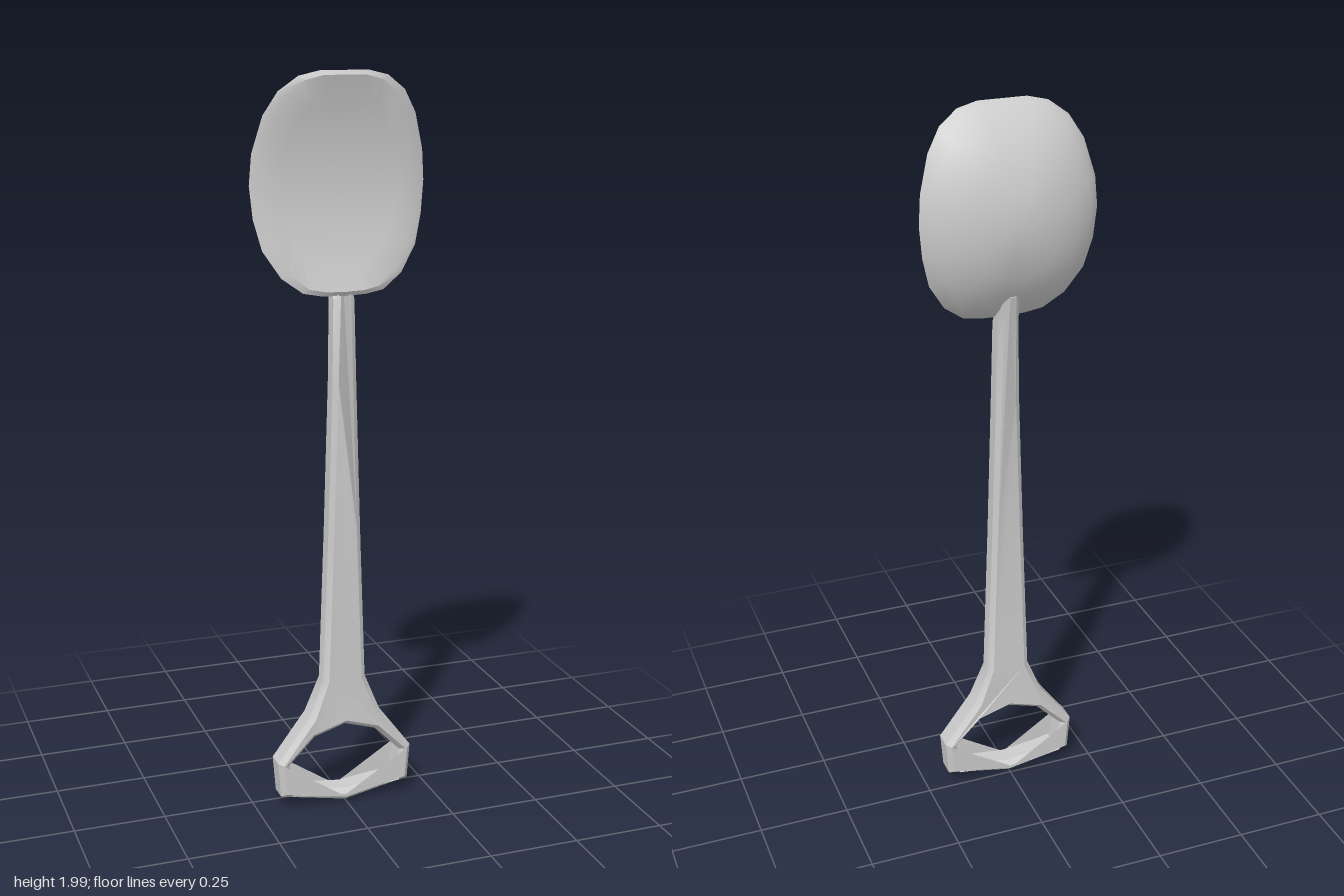
import * as THREE from 'three';
import { toCreasedNormals } from 'three/addons/utils/BufferGeometryUtils.js';

const material = new THREE.MeshStandardMaterial({ color: 0xcccccc, side: THREE.DoubleSide });

// Closes a half outline (+x side, bottom to top) with its mirror image
function mirrored(half) {
  return [...half, ...half.filter(p => p[0] > 0).reverse().map(([x, y]) => [-x, y])];
}

// Bowl: outline rings from the middle of the front face, over the rim, to the middle of the back
function createBowl() {
  const cy = 1.715;
  const outline = mirrored([
    [0, -0.286], [0.06, -0.284], [0.11, -0.275], [0.165, -0.235], [0.21, -0.165], [0.23, -0.085],
    [0.238, 0], [0.232, 0.08], [0.206, 0.175], [0.17, 0.235], [0.12, 0.272], [0.065, 0.285], [0, 0.285],
  ]);
  const curve = y => 0.005 + 0.05 * (y / 0.285) ** 2;
  const rings = [];
  for (const s of [0, 0.25, 0.5, 0.75, 1]) {
    rings.push(outline.map(([x, y]) => {
      const iy = y * s * 0.96;
      return [x * s * 0.87, cy + iy, curve(iy) + 0.011];
    }));
  }
  for (const s of [1, 0.96, 0.87, 0.7, 0.5, 0.25, 0]) {
    rings.push(outline.map(([x, y]) =>
      [x * s, cy + y * s, curve(y * s) - 0.087 * (1 - s * s) ** 0.7]));
  }
  const n = outline.length, last = rings.length - 2, index = [];
  for (let r = 0; r <= last; r++) {
    for (let i = 0; i < n; i++) {
      const a = r * n + i, b = r * n + (i + 1) % n;
      if (r < last) index.push(a, a + n, b + n);
      if (r > 0) index.push(a, r < last ? b + n : a + n, b);
    }
  }
  const geometry = new THREE.BufferGeometry();
  geometry.setAttribute('position', new THREE.Float32BufferAttribute(rings.flat(2), 3));
  geometry.setIndex(index);
  return toCreasedNormals(geometry, 0.55);
}

// Handle: bevelled outline with a grip hole, thinned along the stem and bent back at the neck
function createHandle() {
  const toPoints = half => mirrored(half).map(([x, y]) => new THREE.Vector2(x, y));
  const shape = new THREE.Shape(toPoints([
    [0, 0.008], [0.186, 0.045], [0.194, 0.145], [0.1, 0.27], [0.06, 0.37],
    [0.045, 0.8], [0.033, 1.2], [0.029, 1.42], [0.02, 1.52], [0, 1.522],
  ]));
  shape.holes.push(new THREE.Path(toPoints([
    [0, 0.043], [0.146, 0.06], [0.162, 0.135], [0.088, 0.21], [0, 0.237],
  ])));
  const geometry = new THREE.ExtrudeGeometry(shape, {
    depth: 0.05, bevelEnabled: true, bevelSegments: 1,
    bevelThickness: 0.015, bevelSize: 0.013, bevelOffset: -0.013,
  });
  const p = geometry.attributes.position;
  for (let i = 0; i < p.count; i++) {
    const y = p.getY(i);
    const stem = THREE.MathUtils.clamp((y - 0.27) / 0.1, 0, 1);
    const neck = THREE.MathUtils.clamp((y - 1.41) / 0.1, 0, 1);
    const thickness = 1 - 0.24 * stem - 0.28 * neck;
    p.setZ(i, 0.04 + (p.getZ(i) - 0.025) * thickness - 0.043 * neck);
  }
  return toCreasedNormals(geometry, 0.5);
}

export function createModel() {
  const group = new THREE.Group();
  group.name = 'spoon';
  for (const [name, geometry] of [['bowl', createBowl()], ['handle', createHandle()]]) {
    const mesh = new THREE.Mesh(geometry, material);
    mesh.name = name;
    group.add(mesh);
  }
  return group;
}
